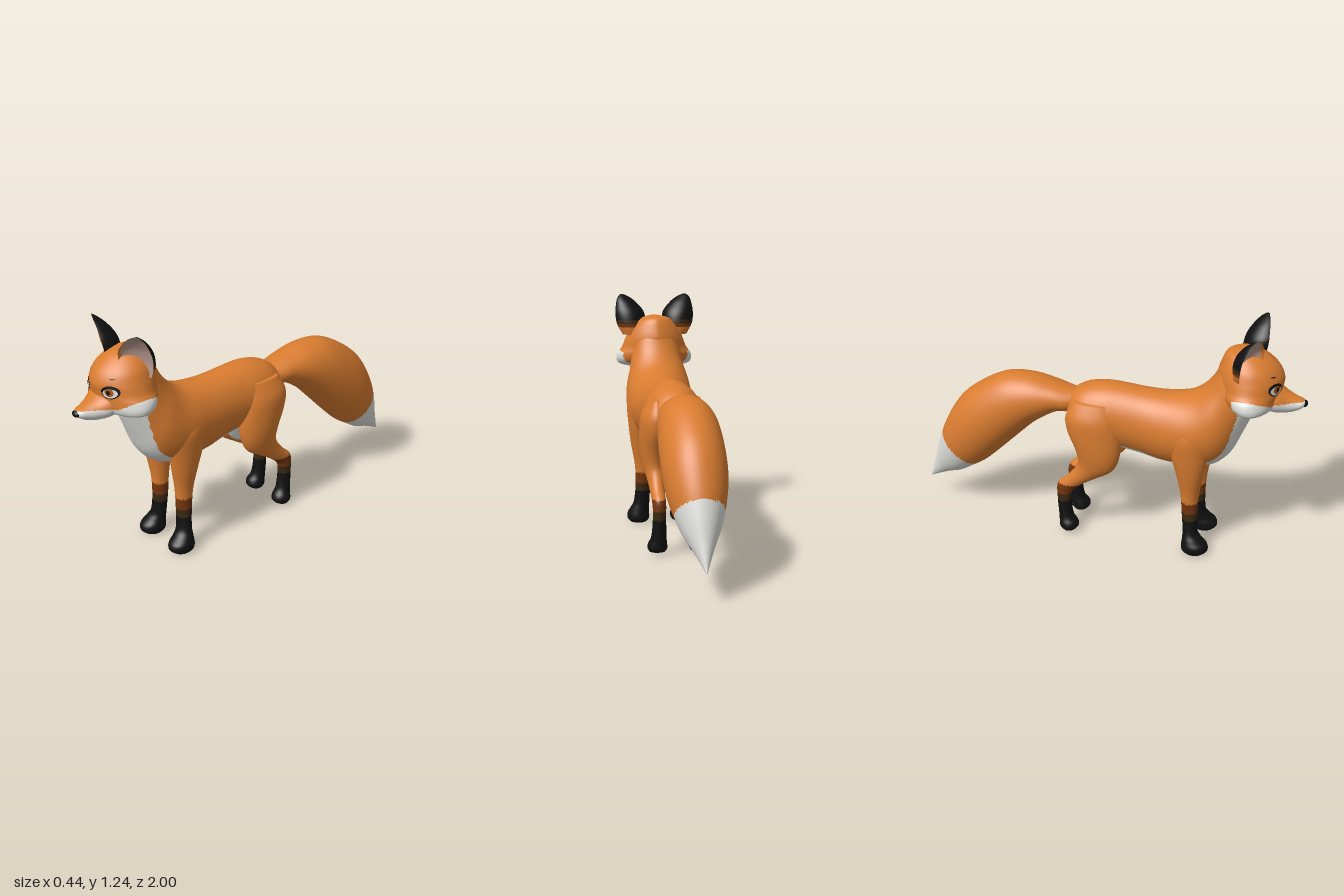
import * as THREE from 'three';

const mat = (name, color) => {
  const m = new THREE.MeshStandardMaterial({ color });
  m.name = name;
  return m;
};
const ORANGE = 0, WHITE = 1, BLACK = 2, RUST = 3, BROWN = 4, PINK = 5, IRIS = 6;

// Smoothly blended row of numbers at t in 0..1 along a list of rows
function blend(rows, t) {
  const f = t * (rows.length - 1);
  const i = Math.min(Math.floor(f), rows.length - 2), u = f - i;
  const at = k => rows[Math.max(0, Math.min(rows.length - 1, k))];
  return rows[i].map((b, k) => {
    const a = at(i - 1)[k], c = at(i + 1)[k], d = at(i + 2)[k];
    return 0.5 * (2 * b + (c - a) * u + (2 * a - 5 * b + 4 * c - d) * u * u + (3 * b - a - 3 * c + d) * u * u * u);
  });
}

// Ring point for rows of [z1, y1, z2, y2, halfWidth, xCentre]: an ellipse spanning two profile points
const oval = (power = 1, side = 1) => ([z1, y1, z2, y2, w, x = 0], a) => {
  const s = Math.sin(a), c = Math.cos(a);
  return new THREE.Vector3(
    side * (x + Math.max(w, 0.001) * Math.sign(s) * Math.abs(s) ** power),
    (y1 + y2) / 2 + c * (y1 - y2) / 2,
    (z1 + z2) / 2 + c * (z1 - z2) / 2);
};

// Closed skin through rows; rule(point, angle) picks the colour of each face
function skin(name, mats, rows, point, rule, rings = 72, segs = 56) {
  const pts = [], tris = [];
  for (let i = 0; i <= rings; i++) {
    const row = blend(rows, i / rings);
    for (let j = 0; j < segs; j++) pts.push(point(row, (j / segs) * Math.PI * 2));
  }
  const centre = start => {
    const c = new THREE.Vector3();
    for (let j = 0; j < segs; j++) c.addScaledVector(pts[start + j], 1 / segs);
    return c;
  };
  const last = rings * segs, p0 = pts.length, p1 = p0 + 1;
  pts.push(centre(0), centre(last));
  for (let j = 0; j < segs; j++) {
    const k = (j + 1) % segs, ang = ((j + 0.5) / segs) * Math.PI * 2;
    tris.push([p0, k, j, ang], [p1, last + j, last + k, ang]);
    for (let i = 0; i < rings; i++) {
      const a = i * segs + j, b = i * segs + k;
      tris.push([a, b, a + segs, ang], [b, b + segs, a + segs, ang]);
    }
  }
  // Turn faces outward
  let volume = 0;
  const n = new THREE.Vector3();
  for (const [a, b, c] of tris) volume += pts[a].dot(n.crossVectors(pts[b], pts[c]));
  const buckets = mats.map(() => []);
  for (const [a, b, c, ang] of tris) {
    const mid = pts[a].clone().add(pts[b]).add(pts[c]).divideScalar(3);
    buckets[rule(mid, ang)].push(...(volume > 0 ? [a, b, c] : [a, c, b]));
  }
  const g = new THREE.BufferGeometry().setFromPoints(pts);
  g.setIndex(buckets.flat());
  let start = 0;
  buckets.forEach((b, m) => {
    if (b.length) g.addGroup(start, b.length, m);
    start += b.length;
  });
  g.computeVertexNormals();
  const mesh = new THREE.Mesh(g, mats);
  mesh.name = name;
  return mesh;
}

const stocking = y => (y > 0.285 ? ORANGE : y > 0.225 ? RUST : y > 0.185 ? BROWN : BLACK);

export function createModel() {
  const fox = new THREE.Group();
  fox.name = 'fox';
  const mats = [
    mat('orange fur', 0xd97c30), mat('white fur', 0xdededa), mat('black fur', 0x111111),
    mat('rust fur', 0x74360f), mat('brown fur', 0x3a2812), mat('ear pink', 0xb99a8e), mat('iris amber', 0xa8581c),
  ];
  const add = (...args) => {
    const m = skin(args[0], mats, ...args.slice(1));
    fox.add(m);
    return m;
  };

  // Torso and neck, rump to throat
  add('body', [
    [-0.2, 0.74, -0.2, 0.66, 0.05], [-0.17, 0.79, -0.17, 0.58, 0.1], [-0.1, 0.83, -0.1, 0.53, 0.135],
    [0, 0.848, 0, 0.51, 0.142], [0.1, 0.845, 0.1, 0.5, 0.138], [0.2, 0.837, 0.2, 0.485, 0.142],
    [0.3, 0.836, 0.3, 0.466, 0.155], [0.4, 0.848, 0.43, 0.465, 0.175], [0.46, 0.875, 0.56, 0.485, 0.18],
    [0.51, 0.92, 0.645, 0.56, 0.172], [0.545, 0.97, 0.7, 0.68, 0.15], [0.575, 1.03, 0.745, 0.79, 0.135],
    [0.61, 1.085, 0.775, 0.86, 0.125], [0.72, 1.03, 0.76, 0.92, 0.06],
  ], oval(), (p, a) => (Math.cos(a) < -0.3 && Math.abs(p.x) < (p.z > 0.45 ? 0.125 : 0.1) ? WHITE : ORANGE), 110, 72);

  // Skull with flared cheeks, crown to jaw
  const face = p => (p.y < 0.887 + Math.max(0, Math.abs(p.x) - 0.12) * 0.6 && p.z > 0.66 ? WHITE : ORANGE);
  const head = add('head', [
    [0.74, 1.124, 0.64, 1.124, 0.03], [0.785, 1.107, 0.6, 1.107, 0.085], [0.85, 1.055, 0.575, 1.055, 0.135],
    [0.88, 1, 0.56, 1, 0.16], [0.877, 0.95, 0.57, 0.95, 0.18], [0.87, 0.915, 0.58, 0.915, 0.205],
    [0.865, 0.88, 0.6, 0.88, 0.212], [0.85, 0.855, 0.63, 0.855, 0.195], [0.82, 0.838, 0.66, 0.838, 0.13],
    [0.78, 0.828, 0.7, 0.828, 0.05],
  ], oval(1.2), face, 80, 80);

  add('muzzle', [
    [0.79, 0.975, 0.79, 0.83, 0.11], [0.86, 0.945, 0.85, 0.82, 0.095], [0.9, 0.922, 0.9, 0.82, 0.07],
    [0.94, 0.904, 0.94, 0.83, 0.05], [0.975, 0.892, 0.968, 0.845, 0.037], [0.993, 0.883, 0.985, 0.857, 0.018],
  ], oval(), face, 40, 48);

  const nose = new THREE.Mesh(new THREE.SphereGeometry(1, 24, 16), mats[BLACK]);
  nose.name = 'nose';
  nose.scale.set(0.025, 0.017, 0.02);
  nose.position.set(0, 0.871, 0.98);
  fox.add(nose);

  // Tail with a pale tip
  add('tail', [
    [-0.12, 0.78, -0.15, 0.68, 0.06], [-0.2, 0.795, -0.2, 0.665, 0.09], [-0.28, 0.815, -0.26, 0.655, 0.105],
    [-0.4, 0.838, -0.37, 0.585, 0.13], [-0.54, 0.828, -0.47, 0.49, 0.147], [-0.68, 0.755, -0.57, 0.39, 0.152],
    [-0.79, 0.66, -0.66, 0.305, 0.145], [-0.875, 0.52, -0.735, 0.255, 0.12], [-0.925, 0.39, -0.81, 0.21, 0.085],
    [-0.96, 0.27, -0.89, 0.183, 0.045], [-1, 0.14, -0.995, 0.137, 0.002],
  ], oval(), p => (0.16 * (p.z + 0.72) + 0.17 * (p.y - 0.28) < 0 ? WHITE : ORANGE), 100, 64);

  const foreleg = [
    [0.53, 0.75, 0.37, 0.75, 0.03, 0.125], [0.56, 0.66, 0.35, 0.66, 0.062, 0.12], [0.55, 0.56, 0.36, 0.56, 0.062, 0.115],
    [0.53, 0.45, 0.39, 0.45, 0.057, 0.107], [0.51, 0.33, 0.415, 0.33, 0.044, 0.099], [0.505, 0.22, 0.425, 0.22, 0.04, 0.098],
    [0.51, 0.12, 0.435, 0.12, 0.043, 0.105], [0.535, 0.08, 0.435, 0.07, 0.052, 0.115], [0.566, 0.05, 0.433, 0.04, 0.06, 0.12],
    [0.57, 0.02, 0.435, 0.015, 0.059, 0.12], [0.55, 0, 0.45, 0, 0.045, 0.12],
  ];
  const hindLeg = [
    [0.05, 0.77, -0.14, 0.77, 0.03, 0.1], [0.08, 0.68, -0.185, 0.69, 0.07, 0.1], [0.1, 0.58, -0.18, 0.61, 0.077, 0.1],
    [0.095, 0.48, -0.138, 0.51, 0.068, 0.105], [0.06, 0.4, -0.122, 0.44, 0.055, 0.105], [-0.02, 0.345, -0.135, 0.395, 0.045, 0.1],
    [-0.1, 0.295, -0.18, 0.335, 0.037, 0.1], [-0.155, 0.245, -0.235, 0.28, 0.034, 0.098], [-0.165, 0.19, -0.238, 0.19, 0.033, 0.098],
    [-0.155, 0.1, -0.23, 0.09, 0.038, 0.1], [-0.13, 0.06, -0.226, 0.05, 0.048, 0.105],
    [-0.125, 0.035, -0.224, 0.03, 0.05, 0.105], [-0.14, 0.015, -0.21, 0.015, 0.04, 0.105],
  ];
  const earRows = [ // y, x, z, half width, depth
    [1.02, 0.13, 0.715, 0.055, 0.06], [1.08, 0.135, 0.735, 0.085, 0.085], [1.14, 0.14, 0.745, 0.087, 0.08],
    [1.19, 0.155, 0.752, 0.064, 0.055], [1.22, 0.168, 0.757, 0.04, 0.03], [1.24, 0.178, 0.76, 0.008, 0.008],
  ];

  // Plate moulded onto the face, lifted in thin layers
  const ray = new THREE.Raycaster();
  head.updateMatrixWorld(true);
  const facePlate = (name, colour, x, y, rx, ry, tilt, lift) => {
    const g = new THREE.RingGeometry(0.001, 1, 28, 4);
    g.scale(rx, ry, 1).rotateZ(tilt).translate(x, y, 0);
    const pos = g.attributes.position;
    for (let i = 0; i < pos.count; i++) {
      ray.set(new THREE.Vector3(pos.getX(i), pos.getY(i), 2), new THREE.Vector3(0, 0, -1));
      const hit = ray.intersectObject(head)[0];
      pos.setZ(i, (hit ? hit.point.z : 0.84) + lift);
    }
    g.computeVertexNormals();
    const m = new THREE.Mesh(g, mats[colour]);
    m.name = name;
    fox.add(m);
  };

  for (const s of [1, -1]) {
    const side = s > 0 ? 'left' : 'right';
    add(side + 'ForeLeg', foreleg, oval(1, s), p => stocking(p.y), 90, 40);
    add(side + 'HindLeg', hindLeg, oval(1, s),
      (p, a) => (p.y > 0.36 && Math.sin(a) < -0.72 ? WHITE : stocking(p.y)), 90, 40);

    // Cupped ear turned outward: bulging back, hollow front
    const yaw = 0.46, cy = Math.cos(yaw), sy = Math.sin(yaw);
    add(side + 'Ear', earRows, ([y, x, z, w, d], a) => {
      const u = w * Math.cos(a), sn = Math.sin(a), v = sn > 0 ? -0.65 * d * sn : d * sn;
      return new THREE.Vector3(s * (x + u * cy + v * sy), y, z - u * sy + v * cy);
    }, (p, a) => {
      const sn = Math.sin(a);
      if (sn > 0) return sn > 0.3 ? PINK : ORANGE;
      return p.y > 1.1 ? BLACK : p.y > 1.08 ? BROWN : p.y > 1.06 ? RUST : ORANGE;
    }, 56, 56);

    // Eyes and brow marks
    facePlate(side + 'EyeRim', BLACK, s * 0.086, 0.967, 0.041, 0.031, s * 0.2, 0.002);
    facePlate(side + 'EyeWhite', WHITE, s * 0.087, 0.963, 0.033, 0.022, s * 0.2, 0.004);
    facePlate(side + 'Iris', IRIS, s * 0.086, 0.968, 0.019, 0.02, 0, 0.006);
    facePlate(side + 'Pupil', BLACK, s * 0.084, 0.968, 0.008, 0.011, 0, 0.008);
    facePlate(side + 'Brow', BLACK, s * 0.085, 1.028, 0.012, 0.003, s * 0.15, 0.002);
  }
  return fox;
}
